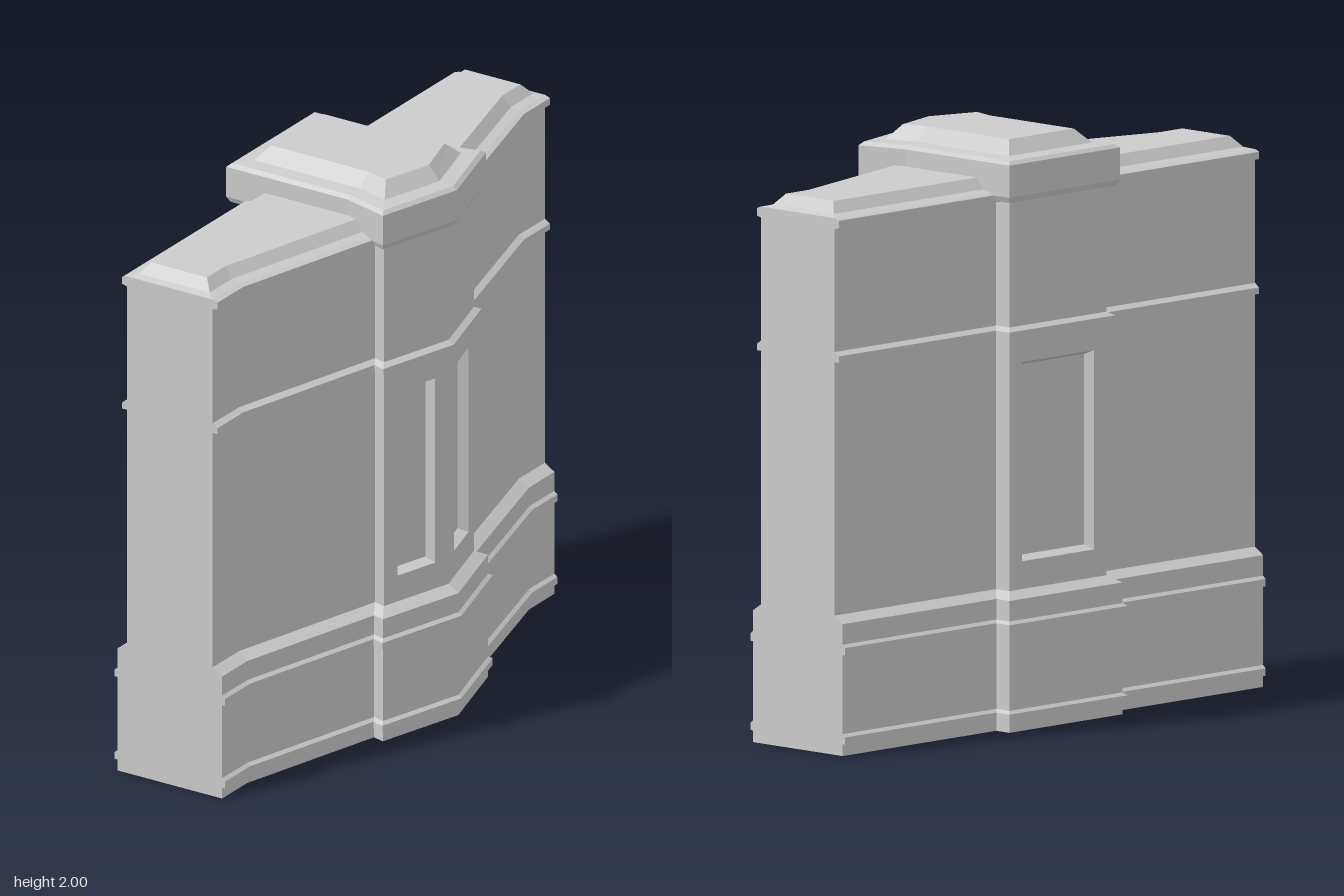
import * as THREE from 'three';

const SLOPE = Math.tan(Math.PI / 12);
const material = new THREE.MeshStandardMaterial({ color: 0xcccccc, flatShading: true, side: THREE.DoubleSide });

// Skin a stack of equal-length rings; optionally close the last one with a fan
function loft(name, rings, cap) {
  const pos = [];
  const tri = (...pts) => pts.forEach((p) => pos.push(...p));
  for (let r = 0; r + 1 < rings.length; r++) {
    const a = rings[r], b = rings[r + 1];
    a.forEach((p, i) => {
      const j = (i + 1) % a.length;
      tri(p, a[j], b[j]);
      tri(p, b[j], b[i]);
    });
  }
  if (cap) {
    const top = rings[rings.length - 1];
    const mid = [0, 1, 2].map((k) => top.reduce((s, p) => s + p[k], 0) / top.length);
    top.forEach((p, i) => tri(mid, p, top[(i + 1) % top.length]));
  }
  const geo = new THREE.BufferGeometry();
  geo.setAttribute('position', new THREE.Float32BufferAttribute(pos, 3));
  geo.computeVertexNormals();
  const mesh = new THREE.Mesh(geo, material);
  mesh.name = name;
  return mesh;
}

// Mirror a half outline (front centre to back) into a full ring at height y
function mirrored(half, y) {
  const left = half.slice(1).reverse().map(([x, z]) => [-x, y, z]);
  const right = half.map(([x, z]) => [x, y, z]);
  return [...left, ...right];
}

// Wall plan: flat ends, front swelling towards the middle; d = offset, e = end inset
function wallRing([y, d, e = 0]) {
  const w = 0.173 + d, k = 0.855 + 0.13 * d, end = 1.015 - e;
  return mirrored([[0, w + k * SLOPE], [k, w], [end, w], [end, -w]], y);
}

// Pillar plan: pointed front, flared cheeks, square back
function pillarRing([y, d]) {
  return mirrored([
    [0, 0.455 + 1.035 * d],
    [0.275 + 1.22 * d, 0.375 + 0.71 * d],
    [0.235 + d, 0.226 - 0.13 * d],
    [0.235 + d, -0.235 - d],
  ], y);
}

// Plinth with two string bands, shared by wall and pillar: [height, offset]
const plinth = [
  [0, 0.038], [0.04, 0.038], [0.04, 0.05], [0.065, 0.05], [0.075, 0.038],
  [0.345, 0.038], [0.345, 0.05], [0.37, 0.05], [0.38, 0.038], [0.45, 0.038], [0.475, 0],
];
const band = (y) => [[y, 0], [y, 0.02], [y + 0.022, 0.02], [y + 0.035, 0]];

// Shaft face between two plan points, with an optional sunken panel
function shaftFace(p, q, y0, y1, margin) {
  const dx = q[0] - p[0], dz = q[2] - p[2], len = Math.hypot(dx, dz);
  const at = (t, y, depth) => [p[0] + dx * t + dz / len * depth, y, p[2] + dz * t - dx / len * depth];
  const rect = (m, b, t, depth) => [at(m, b, depth), at(1 - m, b, depth), at(1 - m, t, depth), at(m, t, depth)];
  const rings = [rect(0, y0, y1, 0)];
  if (margin) {
    rings.push(rect(margin, 0.57, 1.25, 0));
    rings.push(rect(margin + 0.012 / len, 0.585, 1.235, 0.035));
  }
  return loft(margin ? 'panelledFace' : 'plainFace', rings, true);
}

export function createModel() {
  const model = new THREE.Group();
  model.name = 'wallWithPillar';

  // Long wall with plinth, bands and bevelled coping
  const wall = [
    ...plinth, ...band(1.34),
    [1.795, 0], [1.8, 0.02], [1.825, 0.02], [1.832, 0.002],
    [1.84, -0.03, 0.027], [1.877, -0.061, 0.058],
  ];
  model.add(loft('wall', wall.map(wallRing), true));

  // Central pillar
  const pillar = new THREE.Group();
  pillar.name = 'pillar';
  pillar.add(loft('pillarBase', plinth.map(pillarRing), false));

  const shaft = new THREE.Group();
  shaft.name = 'pillarShaft';
  const plan = pillarRing([0, 0]);
  plan.forEach((p, i) => {
    const q = plan[(i + 1) % plan.length];
    const isFront = i === 2 || i === 3, isBack = i === plan.length - 1;
    shaft.add(shaftFace(p, q, 0.475, 1.34, isFront ? 0.21 : isBack ? 0.13 : 0));
  });
  pillar.add(shaft);

  // Upper shaft, cap and bevelled top
  const top = [
    ...band(1.34), [1.8, 0], [1.805, 0.022], [1.825, 0.032],
    [1.935, 0.032], [1.947, 0.018], [1.952, -0.035], [2, -0.078],
  ];
  pillar.add(loft('pillarCap', top.map(pillarRing), true));
  model.add(pillar);

  // The wall runs diagonally across the plan
  model.rotation.y = Math.PI / 4;
  const root = new THREE.Group();
  root.name = 'model';
  root.add(model);
  return root;
}
